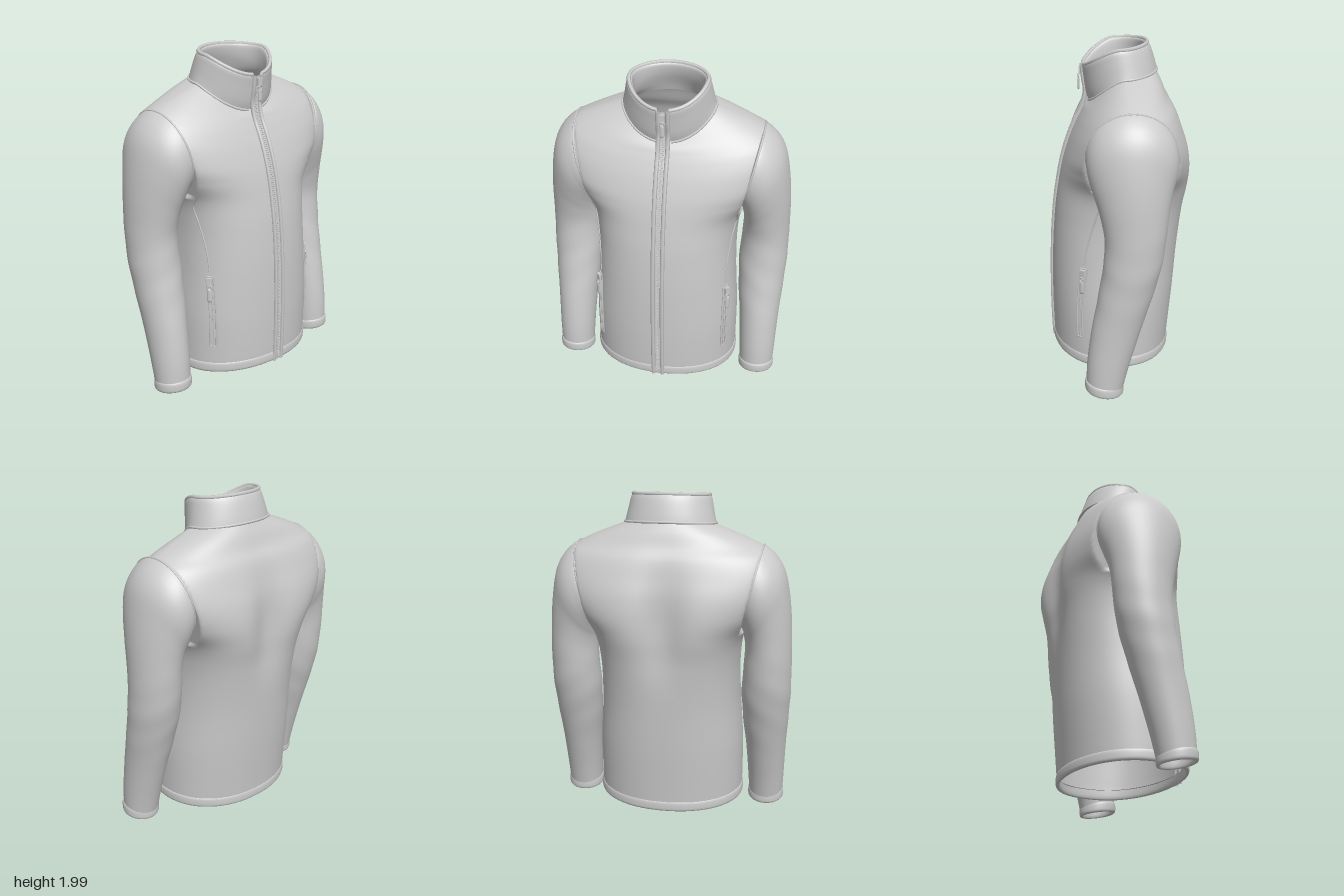
import * as THREE from 'three';
import { mergeGeometries } from 'three/addons/utils/BufferGeometryUtils.js';

const material = new THREE.MeshStandardMaterial({ color: 0xcccccc, side: THREE.DoubleSide });
const V = (x, y, z) => new THREE.Vector3(x, y, z);

function add(parent, name, geometry) {
  const mesh = new THREE.Mesh(geometry, material);
  mesh.name = name;
  parent.add(mesh);
  return mesh;
}

// Smooth interpolation through rows of cross-section numbers, t in 0..1
function rowAt(rows, t) {
  const s = Math.min(Math.max(t, 0), 1) * (rows.length - 1);
  const i = Math.min(Math.floor(s), rows.length - 2), f = s - i;
  const pick = k => rows[Math.min(Math.max(k, 0), rows.length - 1)];
  const [a, b, c, d] = [pick(i - 1), pick(i), pick(i + 1), pick(i + 2)];
  return b.map((q, k) => q + 0.5 * f * (c[k] - a[k]
    + f * (2 * a[k] - 5 * q + 4 * c[k] - d[k] + f * (3 * (q - c[k]) + d[k] - a[k]))));
}

// Surface grid from f(u, v); u wraps round when closed, cells wholly inside a hole are left out
function grid(f, nu, nv, closed = true, isHole = () => false) {
  const cols = closed ? nu : nu + 1, points = [], index = [];
  for (let j = 0; j <= nv; j++)
    for (let i = 0; i < cols; i++) points.push(f(i / nu, j / nv));
  for (let j = 0; j < nv; j++)
    for (let i = 0; i < nu; i++) {
      const a = j * cols + i, b = j * cols + (i + 1) % cols;
      if ([a, b, a + cols, b + cols].every(k => isHole(points[k]))) continue;
      index.push(a, b, b + cols, a, b + cols, a + cols);
    }
  const g = new THREE.BufferGeometry().setFromPoints(points);
  g.setIndex(index);
  g.computeVertexNormals();
  return g;
}

const tube = (points, r, closed = false, n = 96) =>
  new THREE.TubeGeometry(new THREE.CatmullRomCurve3(points, closed), n, r, 6, closed);

const loop = (f, n = 48) => Array.from({ length: n }, (_, i) => f(i / n));

// Rounded band of cloth wrapped round an opening
function band(ring, height, thick, reverse) {
  const centre = loop(ring).reduce((s, p) => s.add(p), V(0, 0, 0)).divideScalar(48);
  const profile = [[-1.6, 0.8], [-1.6, 0.1], [-1, -0.25], [0, -0.28], [0.8, -0.1], [1, 0.2], [0.9, 0.7], [0.4, 0.95], [-0.4, 1]];
  if (reverse) profile.reverse();
  return grid((u, v) => {
    const p = ring(u), [o, h] = rowAt(profile, v);
    const out = V(p.x - centre.x, 0, p.z - centre.z).normalize();
    return p.addScaledVector(out, o * thick).add(V(0, h * height, 0));
  }, 72, 24);
}

// Rows: half width, y at side, front and back, z at side, front and back
const bodyRows = [
  [.45, .095, .115, .08, .04, .4, -.315], [.452, .2, .2, .2, .04, .405, -.325],
  [.45, .45, .45, .45, .04, .408, -.347], [.43, .75, .75, .75, .03, .4, -.37],
  [.428, 1, 1, 1, 0, .38, -.4], [.46, 1.17, 1.17, 1.17, -.03, .354, -.428],
  [.56, 1.3, 1.28, 1.3, -.05, .332, -.428], [.64, 1.42, 1.36, 1.42, -.05, .31, -.408],
  [.665, 1.545, 1.46, 1.53, -.05, .275, -.372], [.63, 1.635, 1.54, 1.63, -.05, .24, -.334],
  [.55, 1.692, 1.59, 1.7, -.045, .215, -.291], [.42, 1.752, 1.625, 1.775, -.04, .195, -.258],
  [.262, 1.812, 1.655, 1.835, -.03, .165, -.225]];
const collarRows = [
  [.274, 1.808, 1.645, 1.83, -.03, .17, -.236], [.262, 1.855, 1.7, 1.88, -.025, .187, -.224],
  [.248, 1.92, 1.79, 1.945, -.01, .2, -.204], [.238, 1.96, 1.848, 1.98, 0, .207, -.188],
  [.224, 1.974, 1.86, 1.99, 0, .197, -.175], [.207, 1.96, 1.848, 1.975, 0, .177, -.16],
  [.203, 1.88, 1.78, 1.92, -.01, .157, -.17], [.215, 1.82, 1.67, 1.845, -.02, .14, -.2],
  [.25, 1.77, 1.61, 1.8, -.03, .14, -.215]];

// Point on an egg-shaped section; angle 0 is the front, a quarter turn is +x
function section(rows, angle, t, n) {
  const [w, yS, yF, yB, zS, zF, zB] = rowAt(rows, t), c = Math.cos(angle), s = Math.sin(angle);
  const k = Math.abs(c) ** 1.5;
  return V(w * Math.sign(s) * Math.abs(s) ** (2 / n), yS + ((c > 0 ? yF : yB) - yS) * k,
    zS + (c > 0 ? zF - zS : zS - zB) * Math.sign(c) * Math.abs(c) ** (2 / n));
}

// Body section trimmed to the armhole planes, broad at the shoulder blades and hollow along the spine
const armholeX = y => y > 1.2 ? .44 + (y - 1.2) * .235 : .46;
function bodyPoint(angle, t) {
  const fuller = Math.sin(Math.PI * t) ** 2 * (Math.cos(angle) > 0 ? .25 : .5);
  const p = section(bodyRows, angle, t, 2.15 + fuller);
  const limit = armholeX(p.y);
  p.x = Math.min(Math.max(p.x, -limit), limit);
  if (p.z < -.1) p.z += .063 * Math.exp(-((p.x / .13) ** 2) - ((p.y - 1.25) / .28) ** 2);
  return p;
}
const inArmhole = p => p.y > 1.2 && Math.abs(Math.abs(p.x) - armholeX(p.y)) < 1e-6
  && ((p.y - 1.446) / .24) ** 2 + ((p.z + .05) / .24) ** 2 < .85;

// Front body surface at a given x and y
function bisect(lo, hi, tooLow) {
  for (let i = 0; i < 24; i++) {
    const m = (lo + hi) / 2;
    if (tooLow(m)) lo = m; else hi = m;
  }
  return (lo + hi) / 2;
}
function frontPoint(x, y, lift = 0) {
  const height = a => bisect(0, 1, t => bodyPoint(a, t).y < y);
  const a = bisect(0, Math.PI / 2, q => bodyPoint(q, height(q)).x < Math.abs(x));
  const p = bodyPoint(a, height(a));
  return V(x + Math.sign(x) * lift * Math.sin(a), y, p.z + lift * Math.cos(a));
}

// Rows: inner x, y, outer x, y, front z, back z
const sleeveRows = [
  [.44, 1.235, .54, 1.66, .165, -.262], [.442, 1.2, .556, 1.692, .205, -.3],
  [.45, 1.17, .632, 1.632, .205, -.306], [.455, 1.14, .686, 1.54, .193, -.295],
  [.46, 1.1, .717, 1.4, .168, -.27], [.46, 1.04, .736, 1.22, .135, -.25],
  [.455, .95, .743, 1, .11, -.235], [.446, .8, .744, .8, .122, -.208],
  [.455, .6, .734, .6, .155, -.152], [.475, .4, .722, .4, .192, -.09],
  [.488, .2, .715, .2, .216, -.03], [.497, .04, .708, .04, .222, .01]];
function sleevePoint(u, v) {
  const [xi, yi, xo, yo, zf, zb] = rowAt(sleeveRows, v);
  const c = Math.cos(u * Math.PI * 2), s = Math.sin(u * Math.PI * 2);
  const y = (yi + yo) / 2 + c * (yo - yi) / 2;
  // soft folds at the elbow and a forward tilt at the cuff
  const fold = 1 + .008 * Math.sin(y * 30 + c * 3) * Math.exp(-(((y - .75) / .25) ** 2));
  const z = (zf + zb) / 2 + s * (zf - zb) / 2 * fold;
  return V((xi + xo) / 2 + c * (xo - xi) / 2 * fold, y + .15 * s * (zf - zb) / 2 * Math.max(0, 1 - y / .4), z);
}

// Small slider with a hanging pull tab
function zipPull(parent, name, p, turn, size) {
  const pull = new THREE.Group();
  pull.name = name;
  add(pull, 'slider', new THREE.BoxGeometry(.03, .045, .022));
  add(pull, 'pullRing', new THREE.TorusGeometry(.012, .004, 6, 14)).position.set(0, -.03, .012);
  const tab = add(pull, 'pullTab', new THREE.CapsuleGeometry(.014, .05, 4, 10));
  tab.scale.z = .45;
  tab.position.set(0, -.075, .012);
  pull.position.copy(p);
  pull.rotation.y = turn;
  pull.scale.setScalar(size);
  parent.add(pull);
}

export function createModel() {
  const jacket = new THREE.Group();
  jacket.name = 'jacket';
  const turn = Math.PI * 2;

  // Body and hem
  add(jacket, 'body', grid((u, v) => bodyPoint(u * turn, v), 144, 130, true, inArmhole));
  add(jacket, 'hem', band(u => bodyPoint(u * turn, 0), .05, .009, false));

  // Stand-up collar, open at the front, with a piped rim
  const gap = .15, collarAngle = u => gap + u * (turn - 2 * gap);
  add(jacket, 'collar', grid((u, v) => section(collarRows, collarAngle(u), v, 2), 80, 48, false));
  const collarLine = t => Array.from({ length: 49 }, (_, i) => section(collarRows, collarAngle(i / 48), t, 2));
  add(jacket, 'neckSeam', tube(collarLine(.02), .008));
  add(jacket, 'collarRim', tube(collarLine(.48), .012));

  // Front zip: tape, two piped edges and teeth between them
  const zipLine = (x, lift) => {
    const pts = Array.from({ length: 20 }, (_, i) => frontPoint(x, .1 + i * .079, lift));
    return pts.concat([[1.7, .186], [1.78, .198], [1.855, .204]].map(([y, z]) => V(x, y, z + lift)));
  };
  const edges = [-.036, .036].map(x => new THREE.CatmullRomCurve3(zipLine(x, .003)));
  add(jacket, 'zipTape', grid((u, v) => edges[0].getPoint(v).lerp(edges[1].getPoint(v), u), 4, 70, false));
  for (const x of [-.028, .028]) add(jacket, 'zipEdge', tube(zipLine(x, .003), .013));
  const teethPath = new THREE.CatmullRomCurve3(zipLine(.0001, .006));
  const teeth = Array.from({ length: 150 }, (_, i) => {
    const p = teethPath.getPointAt((i + .5) / 150);
    return new THREE.BoxGeometry(.012, .006, .008).translate(p.x + (i % 2 ? .003 : -.003), p.y, p.z);
  });
  add(jacket, 'zipTeeth', mergeGeometries(teeth));
  zipPull(jacket, 'frontZipPull', V(0, 1.82, .214), 0, 1);

  // Sleeve, side seam and pocket, mirrored
  for (const side of [1, -1]) {
    const half = new THREE.Group();
    half.name = side > 0 ? 'leftSide' : 'rightSide';
    half.scale.x = side;
    add(half, 'sleeve', grid(sleevePoint, 56, 90));
    add(half, 'cuff', band(u => sleevePoint(u, 1), .05, .008, true));
    add(half, 'armholeSeam', tube(loop(u => sleevePoint(u, 1 / 11)), .006, true));
    const seam = [[.388, .74], [.39, .85], [.397, .95], [.41, 1.05], [.428, 1.14], [.438, 1.22]];
    add(half, 'sideSeam', tube(seam.map(([x, y]) => frontPoint(x, y, .002)), .005));

    const pocketLine = x => Array.from({ length: 9 }, (_, i) => frontPoint(x, .27 + i * .056, .006));
    const rails = [.377, .399].map(pocketLine);
    for (const rail of rails) add(half, 'pocketZipEdge', tube(rail, .005, false, 32));
    for (const i of [0, 8]) add(half, 'pocketZipEnd', tube([rails[0][i], rails[1][i]], .005, false, 4));
    add(half, 'pocketZipTeeth', tube(pocketLine(.388), .004, false, 32));
    zipPull(half, 'pocketZipPull', frontPoint(.388, .69, .013), .85, 1.1);
    jacket.add(half);
  }
  return jacket;
}
